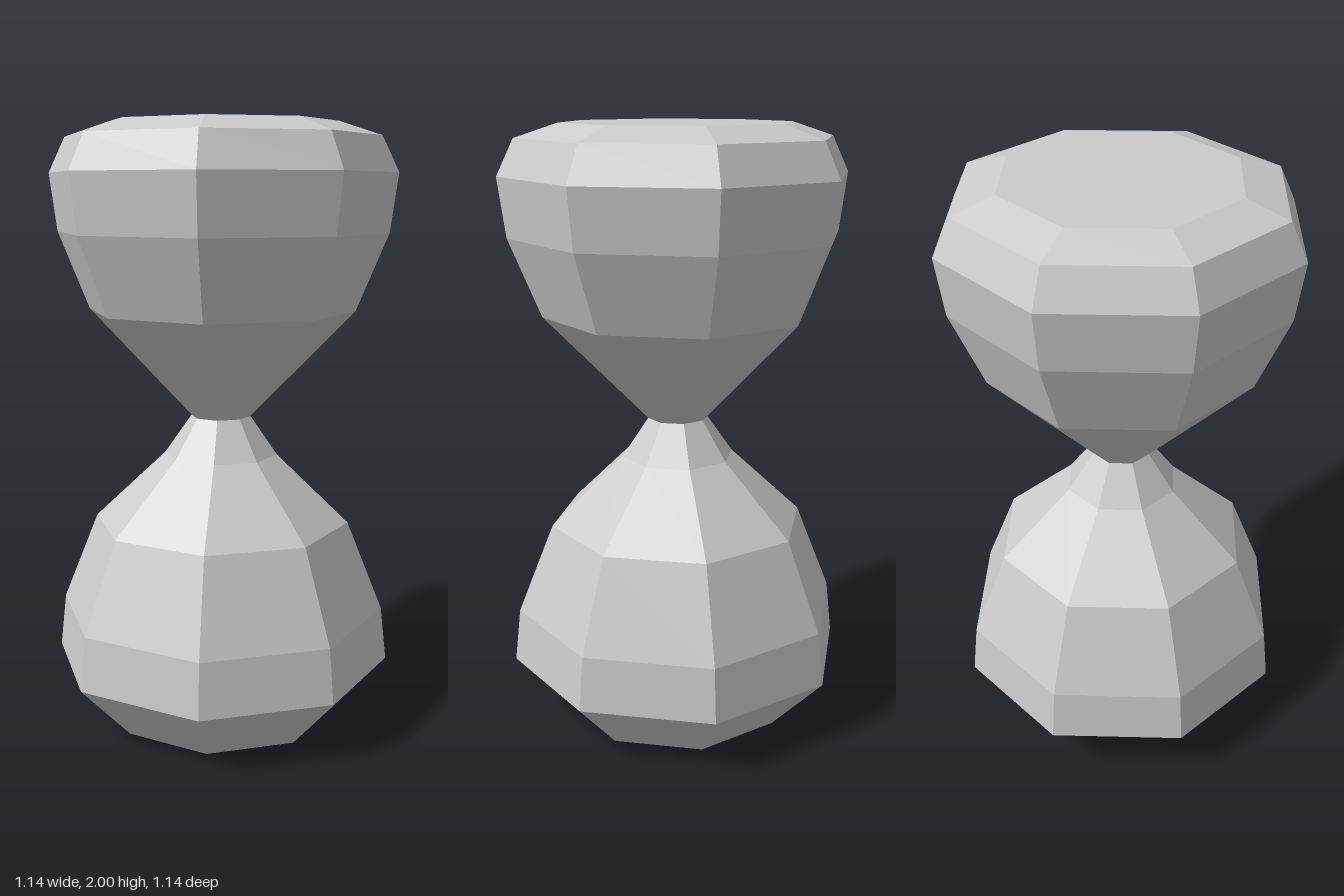
import * as THREE from 'three';

const SIDES = 8;
const NECK = [0.1, 1.04];

// [radius, height] pairs, bottom to top
const LOWER = [[0, 0], [0.386, 0], [0.572, 0.2], [0.552, 0.38], [0.432, 0.68], [0.19, 0.91], NECK];
const UPPER = [NECK, [0.443, 1.395], [0.547, 1.65], [0.572, 1.84], [0.516, 1.955], [0.378, 2], [0, 2]];

export function createModel() {
  const group = new THREE.Group();
  group.name = 'hourglass';
  const material = new THREE.MeshStandardMaterial({ color: 0xcccccc, flatShading: true });

  const addBulb = (name, profile) => {
    const points = profile.map(([r, y]) => new THREE.Vector2(r, y));
    const mesh = new THREE.Mesh(new THREE.LatheGeometry(points, SIDES), material);
    mesh.name = name;
    group.add(mesh);
  };

  // Two faceted bulbs meeting at the narrow neck
  addBulb('lowerBulb', LOWER);
  addBulb('upperBulb', UPPER);
  return group;
}
